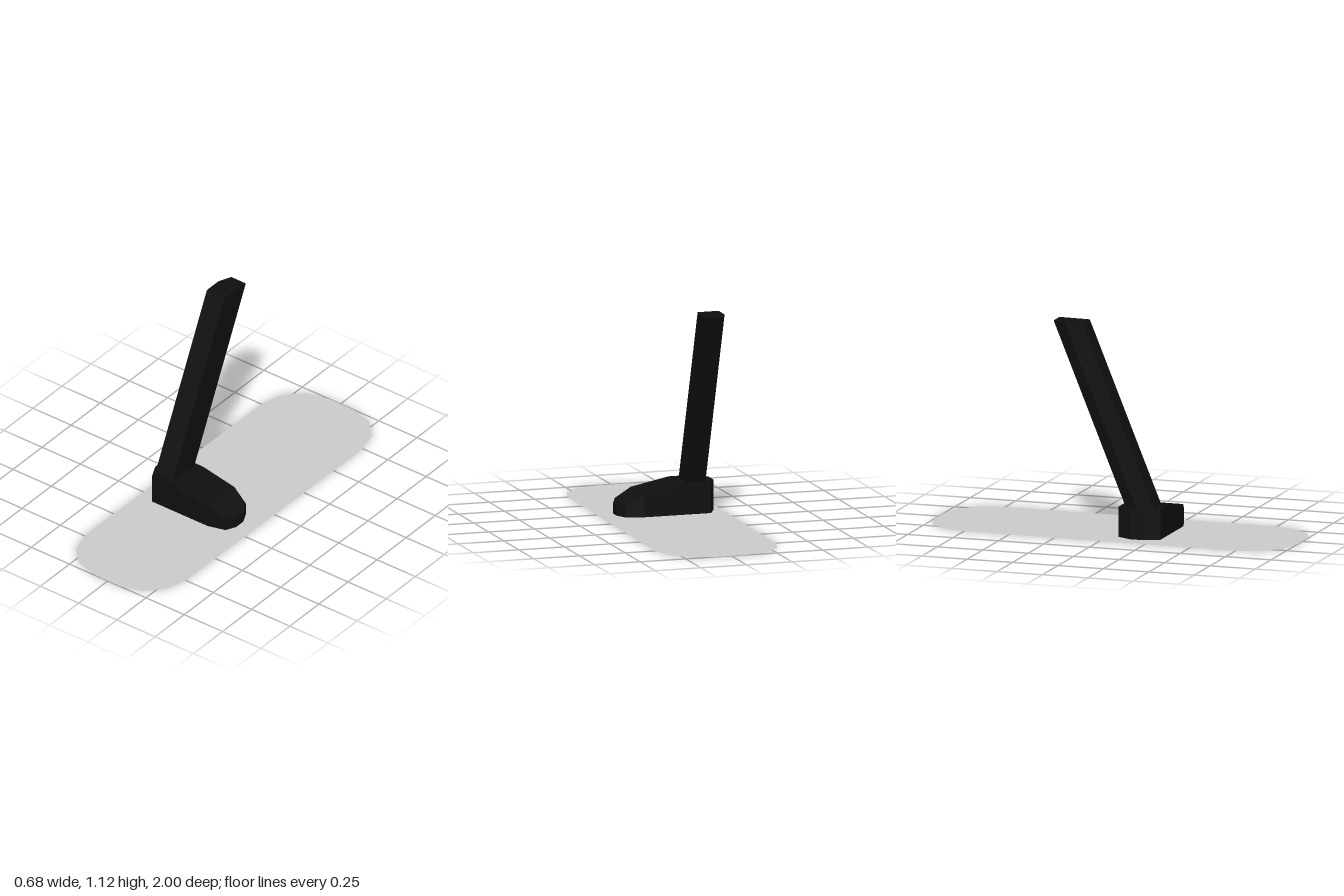
import * as THREE from 'three';

// Closed flat-shaded solid from equal-length rings of [x, y, z]; solid on both ends.
function loft(rings) {
  const pos = [];
  const n = rings[0].length;
  const tri = (a, b, c) => pos.push(...a, ...b, ...c);
  for (let r = 0; r < rings.length - 1; r++) {
    for (let i = 0; i < n; i++) {
      const j = (i + 1) % n;
      const a = rings[r][i], b = rings[r][j], c = rings[r + 1][j], d = rings[r + 1][i];
      tri(a, b, c);
      tri(a, c, d);
    }
  }
  const first = rings[0], last = rings[rings.length - 1];
  for (let i = 1; i < n - 1; i++) {
    tri(first[0], first[i + 1], first[i]);
    tri(last[0], last[i], last[i + 1]);
  }
  const g = new THREE.BufferGeometry();
  g.setAttribute('position', new THREE.Float32BufferAttribute(pos, 3));
  g.computeVertexNormals();
  return g;
}

export function createModel() {
  const group = new THREE.Group();
  const black = new THREE.MeshStandardMaterial({ color: 0x0f0f0f });
  black.name = 'black';
  const grey = new THREE.MeshStandardMaterial({ color: 0xcacaca, side: THREE.DoubleSide });
  grey.name = 'light grey';

  const add = (name, geometry, material) => {
    const mesh = new THREE.Mesh(geometry, material);
    mesh.name = name;
    group.add(mesh);
  };

  // Flat base plate with rounded ends, outline in x, z
  const outline = [
    [-0.07, -1], [0.085, -1], [0.215, -0.965], [0.305, -0.87], [0.338, -0.74],
    [0.32, 0.75], [0.285, 0.87], [0.195, 0.965], [0.08, 0.998], [-0.085, 0.998],
    [-0.22, 0.96], [-0.31, 0.865], [-0.343, 0.735], [-0.325, -0.76], [-0.29, -0.88], [-0.2, -0.97],
  ];
  const plate = new THREE.Shape(outline.map(([x, z]) => new THREE.Vector2(x, -z)));
  add('basePlate', new THREE.ShapeGeometry(plate).rotateX(-Math.PI / 2), grey);

  // Foot: sections along x as [x, back z, front z, top y]
  const footSections = [
    [-0.28, 0.15, 0.225, 0.17], [-0.242, 0.072, 0.302, 0.17], [-0.085, 0.072, 0.302, 0.17],
    [0.122, 0.072, 0.302, 0.128], [0.218, 0.1, 0.275, 0.08], [0.246, 0.157, 0.22, 0.065],
  ];
  add('foot', loft(footSections.map(([x, back, front, top]) => [
    [x, 0.009, back], [x, top, back], [x, top, front], [x, 0.009, front],
  ])), black);

  // Leaning leg: a five-sided prism, section in x, z at its top
  const legSection = [
    [-0.215, -0.235], [-0.215, -0.135], [-0.1, -0.135], [-0.09, -0.305], [-0.185, -0.305],
  ];
  const legRing = (y) => {
    const t = (1.123 - y) / 0.953;
    return legSection.map(([x, z]) => [x - 0.03 * t, y, z + 0.405 * t]);
  };
  add('leg', loft([legRing(0.15), legRing(1.123)]), black);

  return group;
}
